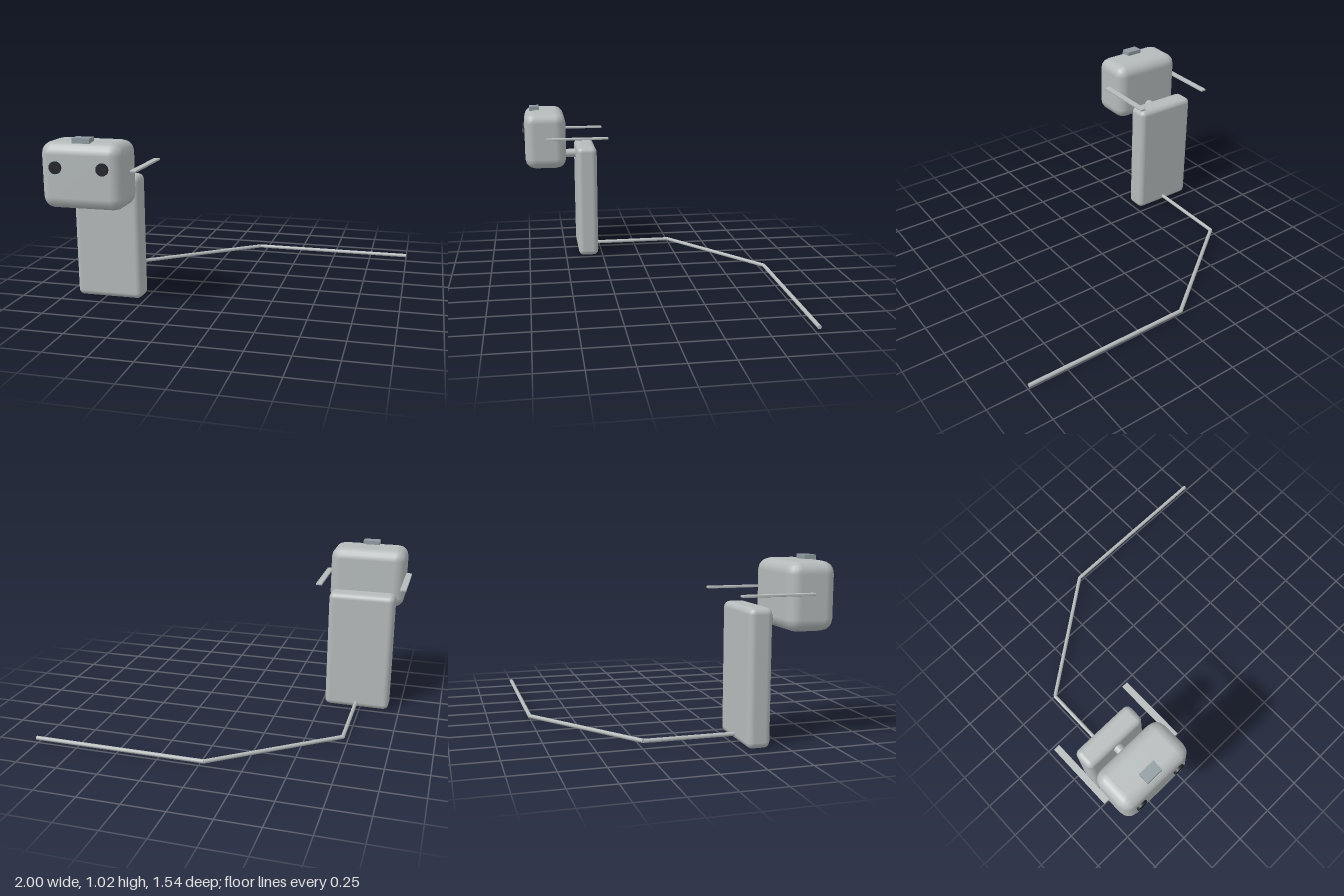
import * as THREE from 'three';
import { RoundedBoxGeometry } from 'three/addons/geometries/RoundedBoxGeometry.js';

export function createModel() {
  const model = new THREE.Group();
  model.name = 'tailedRobot';

  const material = (name, color) => {
    const m = new THREE.MeshStandardMaterial({ color });
    m.name = name;
    return m;
  };
  const grey = material('lightGrey', 0xb5babb);
  const blueGrey = material('blueGrey', 0x8f9ba1);
  const black = material('black', 0x22252d);

  const add = (name, geometry, mat, x, y, z) => {
    const mesh = new THREE.Mesh(geometry, mat);
    mesh.name = name;
    mesh.position.set(x, y, z);
    model.add(mesh);
    return mesh;
  };

  // Straight round bar between two points
  const bar = (name, a, b, radius, sides) => {
    const dir = b.clone().sub(a);
    const mid = a.clone().add(b).multiplyScalar(0.5);
    const mesh = add(name, new THREE.CylinderGeometry(radius, radius, dir.length(), sides), grey, mid.x, mid.y, mid.z);
    mesh.quaternion.setFromUnitVectors(new THREE.Vector3(0, 1, 0), dir.normalize());
  };

  const cx = -0.725; // centre line of the body

  // Body and head
  add('body', new RoundedBoxGeometry(0.41, 0.757, 0.134, 3, 0.035), grey, cx, 0.3815, 0.345);
  add('head', new RoundedBoxGeometry(0.478, 0.376, 0.272, 2, 0.068), grey, cx, 0.812, 0.62);
  bar('neck', new THREE.Vector3(cx, 0.692, 0.36), new THREE.Vector3(cx, 0.692, 0.52), 0.029, 16);

  // Button on top of the head
  add('topButton', new THREE.BoxGeometry(0.104, 0.03, 0.066), blueGrey, cx, 1.009, 0.687);

  // Eyes and side bars, mirrored about the centre line
  for (const side of [-1, 1]) {
    const eye = new THREE.CylinderGeometry(0.035, 0.035, 0.03, 16).rotateX(Math.PI / 2);
    add(side < 0 ? 'rightEye' : 'leftEye', eye, black, cx + side * 0.137, 0.863, 0.755);
    add(side < 0 ? 'rightSideBar' : 'leftSideBar', new RoundedBoxGeometry(0.038, 0.013, 0.408, 1, 0.003),
      grey, cx + side * 0.256, 0.831, 0.411);
  }

  // Bent tail lying close to the ground
  const tail = [[cx, 0.32], [cx, -0.24], [-0.035, -0.76], [1, -0.76]]
    .map(([x, z]) => new THREE.Vector3(x, 0.039, z));
  for (let i = 0; i < 3; i++) bar('tailSegment' + (i + 1), tail[i], tail[i + 1], 0.012, 12);

  return model;
}
